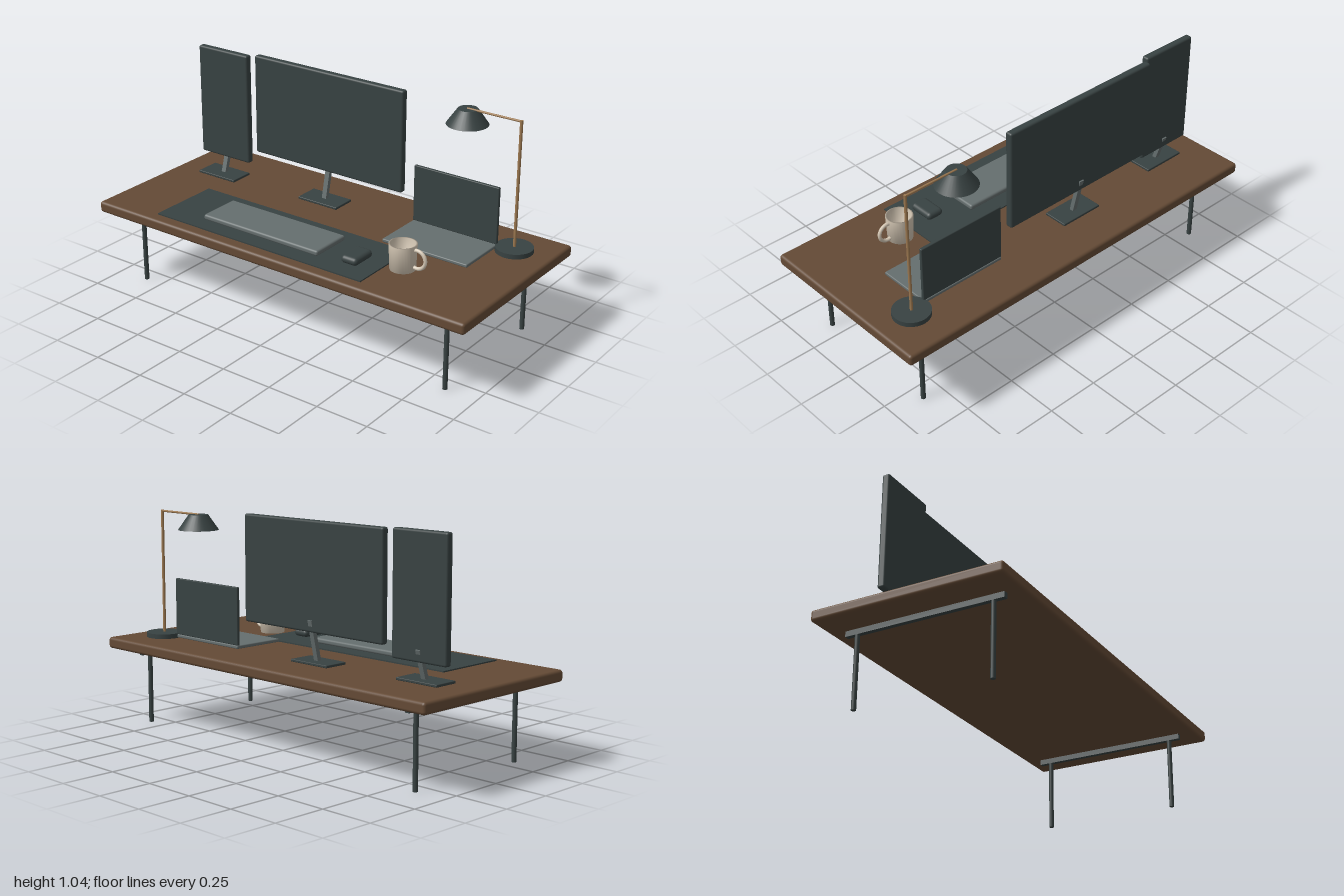
import * as THREE from 'three';
import { RoundedBoxGeometry } from 'three/addons/geometries/RoundedBoxGeometry.js';

const mat = (name, color, side = THREE.FrontSide) => {
  const m = new THREE.MeshStandardMaterial({ color, side });
  m.name = name;
  return m;
};

export function createModel() {
  const wood = mat('walnut', 0x644a35);
  const dark = mat('charcoal', 0x384242);
  const grey = mat('grey metal', 0x656e6e);
  const brass = mat('brass', 0x9c7850);
  const cream = mat('cream ceramic', 0xd5c8b5, THREE.DoubleSide);

  const root = new THREE.Group();
  root.name = 'deskSetup';
  const group = (name) => {
    const g = new THREE.Group();
    g.name = name;
    root.add(g);
    return g;
  };
  const add = (parent, name, geo, material, x, y, z) => {
    const m = new THREE.Mesh(geo, material);
    m.name = name;
    m.position.set(x, y, z);
    parent.add(m);
    return m;
  };
  // Box given by its min and max on each axis, with optional rounding
  const block = (parent, name, material, [x0, x1], [y0, y1], [z0, z1], r = 0) => {
    const s = [x1 - x0, y1 - y0, z1 - z0];
    const geo = r ? new RoundedBoxGeometry(...s, 3, r) : new THREE.BoxGeometry(...s);
    return add(parent, name, geo, material, (x0 + x1) / 2, (y0 + y1) / 2, (z0 + z1) / 2);
  };

  // Desk: top, and a crossbar with two legs at each end
  const desk = group('desk');
  block(desk, 'deskTop', wood, [-1, 1], [0.357, 0.41], [-0.45, 0.45], 0.014);
  for (const x of [-0.845, 0.845]) {
    block(desk, 'crossbar', dark, [x - 0.011, x + 0.011], [0.332, 0.358], [-0.375, 0.375]);
    for (const z of [-0.321, 0.321])
      add(desk, 'leg', new THREE.CylinderGeometry(0.011, 0.011, 0.335, 16), dark, x, 0.1675, z);
  }

  // Monitors: panel, leaning neck and flat foot
  const monitor = (name, x0, x1, y0, z, neckTop) => {
    const g = group(name);
    const cx = (x0 + x1) / 2;
    block(g, 'panel', dark, [x0, x1], [y0, 1.036], [z - 0.018, z + 0.018], 0.01);
    block(g, 'foot', dark, [cx - 0.11, cx + 0.11], [0.41, 0.422], [z - 0.03, z + 0.09], 0.003);
    const foot = z + 0.028, head = z - 0.014, h = neckTop - 0.415;
    const neck = add(g, 'neck', new THREE.BoxGeometry(0.024, Math.hypot(h, foot - head), 0.02),
      grey, cx, 0.415 + h / 2, (foot + head) / 2);
    neck.rotation.x = -Math.atan2(foot - head, h);
  };
  monitor('mainMonitor', -0.582, 0.258, 0.55, -0.22, 0.605);
  monitor('sideMonitor', -0.895, -0.6, 0.495, -0.184, 0.55);

  // Mat, keyboard and mouse
  block(root, 'deskMat', dark, [-0.68, 0.46], [0.409, 0.416], [0.04, 0.395]);
  block(root, 'keyboard', grey, [-0.465, 0.18], [0.416, 0.442], [0.115, 0.322], 0.01);
  block(root, 'mouse', dark, [0.29, 0.375], [0.416, 0.453], [0.178, 0.308], 0.018);

  // Laptop
  const laptop = group('laptop');
  block(laptop, 'laptopBase', grey, [0.314, 0.75], [0.413, 0.429], [-0.236, 0.026], 0.005);
  block(laptop, 'laptopScreen', dark, [0.314, 0.75], [0.429, 0.697], [-0.235, -0.219], 0.004);

  // Mug: hollow lathe body with a ring handle
  const mug = group('mug');
  const profile = [[0, 0], [0.057, 0], [0.062, 0.118], [0.055, 0.118], [0.051, 0.01], [0, 0.01]]
    .map(([r, y]) => new THREE.Vector2(r, y));
  add(mug, 'mugBody', new THREE.LatheGeometry(profile, 32), cream, 0.533, 0.414, 0.188);
  add(mug, 'mugHandle', new THREE.TorusGeometry(0.042, 0.0085, 8, 24), cream, 0.604, 0.475, 0.188);

  // Lamp: round foot, pole, arm and conical shade
  const lamp = group('lamp');
  const lz = -0.246;
  add(lamp, 'lampFoot', new THREE.CylinderGeometry(0.085, 0.085, 0.022, 32), dark, 0.825, 0.422, lz);
  add(lamp, 'lampPole', new THREE.CylinderGeometry(0.007, 0.007, 0.585, 12), brass, 0.825, 0.7245, lz);
  const arm = add(lamp, 'lampArm', new THREE.CylinderGeometry(0.005, 0.005, 0.265, 12), brass, 0.6925, 1.012, lz);
  arm.rotation.z = Math.PI / 2;
  add(lamp, 'lampShade', new THREE.CylinderGeometry(0.045, 0.094, 0.07, 32), dark, 0.563, 0.977, lz);

  return root;
}
